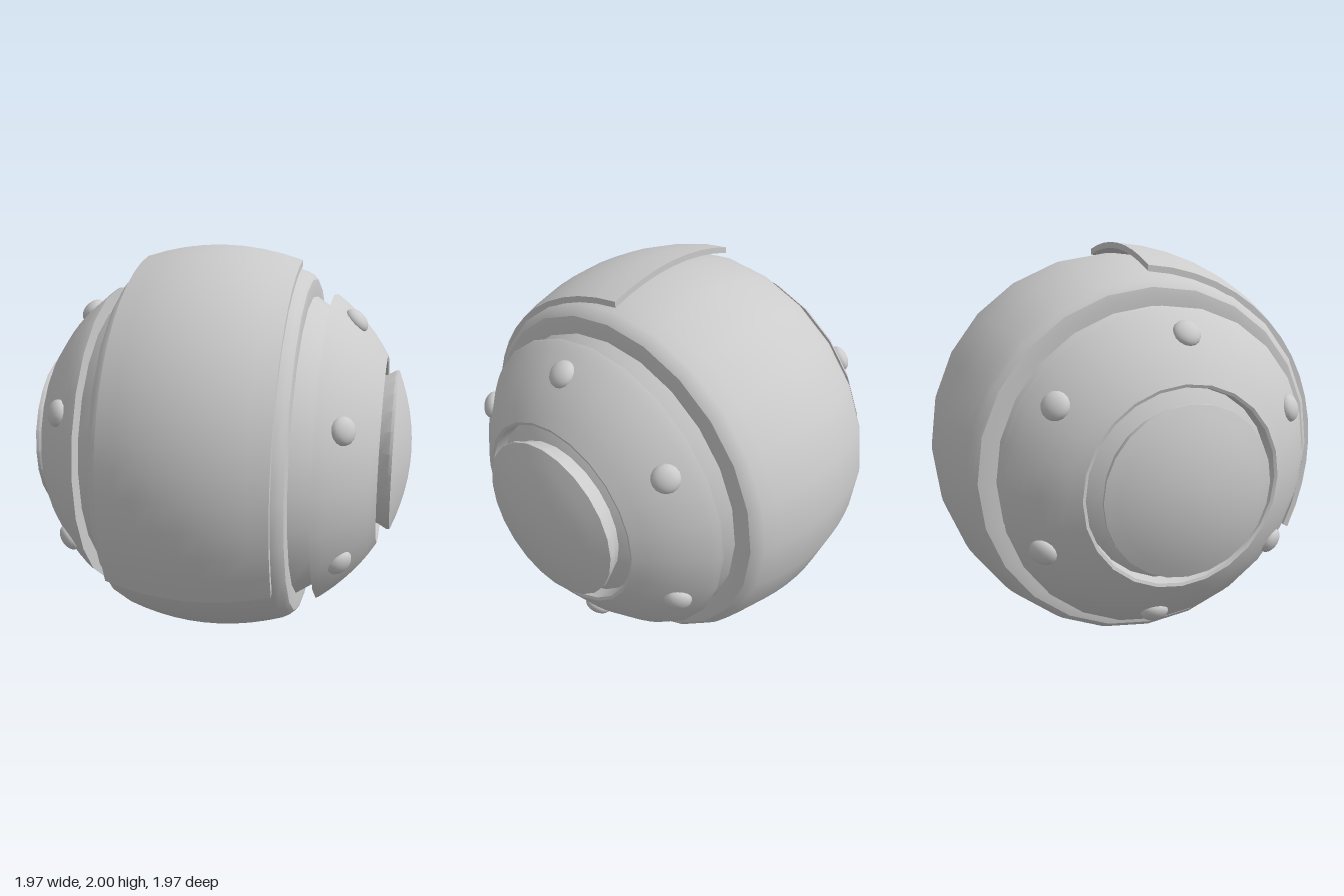
import * as THREE from 'three';
import { toCreasedNormals } from 'three/addons/utils/BufferGeometryUtils.js';

const SEG = 24;
const material = new THREE.MeshStandardMaterial({ color: 0xcccccc });

function addMesh(parent, geometry, name) {
  const mesh = new THREE.Mesh(geometry, material);
  mesh.name = name;
  parent.add(mesh);
  return mesh;
}

// Turned part about the x axis; profile is [x, radius] pairs with x rising
function turned(profile) {
  const points = profile.map(([x, r]) => new THREE.Vector2(r, x));
  const geometry = new THREE.LatheGeometry(points, SEG).rotateZ(-Math.PI / 2);
  return toCreasedNormals(geometry, 0.55);
}

// Evenly spaced samples of a rule over [a, b]
const sample = (n, a, b, rule) =>
  Array.from({ length: n + 1 }, (_, i) => rule(a + ((b - a) * i) / n));

// Crowned radius of the central band
const bandRadius = (x) => 0.97 - 0.067 * (x / 0.4) ** 2;

// Curved plate lofted around the band, lifting away slightly at both ends
function plateGeometry() {
  const steps = 16, half = 0.4, thickness = 0.03;
  const positions = [], index = [];
  const outer = sample(8, -half, half, (x) => [x, bandRadius(x)]);
  const inner = sample(8, half, -half, (x) => [x, bandRadius(x) - thickness]);
  const loop = [...outer, ...inner];
  const n = loop.length;
  for (let i = 0; i <= steps; i++) {
    const t = i / steps;
    const angle = (t * Math.PI * 2) / 3;
    const lift = 0.022 + 0.033 * Math.abs(2 * t - 1) ** 3;
    for (const [x, r] of loop) {
      positions.push(x, (r + lift) * Math.cos(angle), (r + lift) * Math.sin(angle));
    }
  }
  for (let i = 0; i < steps; i++) {
    for (let j = 0; j < n; j++) {
      const a = i * n + j, b = i * n + ((j + 1) % n);
      index.push(a, a + n, b, b, a + n, b + n);
    }
  }
  // End faces
  const last = steps * n;
  for (let j = 0; j < n / 2 - 1; j++) {
    const a = j, b = j + 1, c = n - 2 - j, d = n - 1 - j;
    index.push(a, b, c, a, c, d);
    index.push(last + a, last + c, last + b, last + a, last + d, last + c);
  }
  const geometry = new THREE.BufferGeometry();
  geometry.setAttribute('position', new THREE.Float32BufferAttribute(positions, 3));
  geometry.setIndex(index);
  return toCreasedNormals(geometry, 0.55);
}

export function createModel() {
  const model = new THREE.Group();
  model.name = 'armouredSphere';
  const body = new THREE.Group();
  body.name = 'body';
  body.position.set(0, 0.972, -0.01);
  model.add(body);

  // Inner ball seen in the gaps
  addMesh(body, new THREE.SphereGeometry(0.9, SEG, 24).rotateZ(-Math.PI / 2), 'core');

  // Wide crowned band with bevelled rims
  addMesh(body, turned([
    [-0.455, 0.74], [-0.46, 0.82], [-0.455, 0.862],
    [-0.435, 0.885],
    ...sample(10, -0.4, 0.4, (x) => [x, bandRadius(x)]),
    [0.435, 0.885],
    [0.455, 0.862], [0.46, 0.82], [0.455, 0.74],
  ]), 'centralBand');

  addMesh(body, plateGeometry(), 'frontPlate');

  // Side shell with a round opening, and the domed cap inside it
  const shell = turned([
    [0.56, 0.66], [0.56, 0.79],
    ...sample(7, 0.575, 0.84, (x) => [x, Math.sqrt(0.97 ** 2 - x * x)]),
    [0.835, 0.47], [0.76, 0.46],
  ]);
  const cap = turned([
    [0.78, 0.37], [0.84, 0.385], [0.885, 0.41],
    ...sample(6, 0.41, 0, (r) => [0.985 - 0.085 * (r / 0.41) ** 2, r]),
  ]);
  const rivet = new THREE.SphereGeometry(0.068, 16, 12).scale(1, 0.62, 1);
  const up = new THREE.Vector3(0, 1, 0);

  for (const side of [1, -1]) {
    const group = new THREE.Group();
    group.name = side > 0 ? 'leftSide' : 'rightSide';
    body.add(group);
    for (const [geometry, name] of [[shell, 'sideShell'], [cap, 'hubCap']]) {
      addMesh(group, geometry, name).rotation.y = side > 0 ? 0 : Math.PI;
    }
    // Ring of six rivets
    for (let i = 0; i < 6; i++) {
      const angle = THREE.MathUtils.degToRad(6 + 60 * i);
      const normal = new THREE.Vector3(side, Math.cos(angle), Math.sin(angle)).normalize();
      const mesh = addMesh(group, rivet, 'rivet');
      mesh.position.copy(normal).multiplyScalar(0.965);
      mesh.quaternion.setFromUnitVectors(up, normal);
    }
  }
  return model;
}
